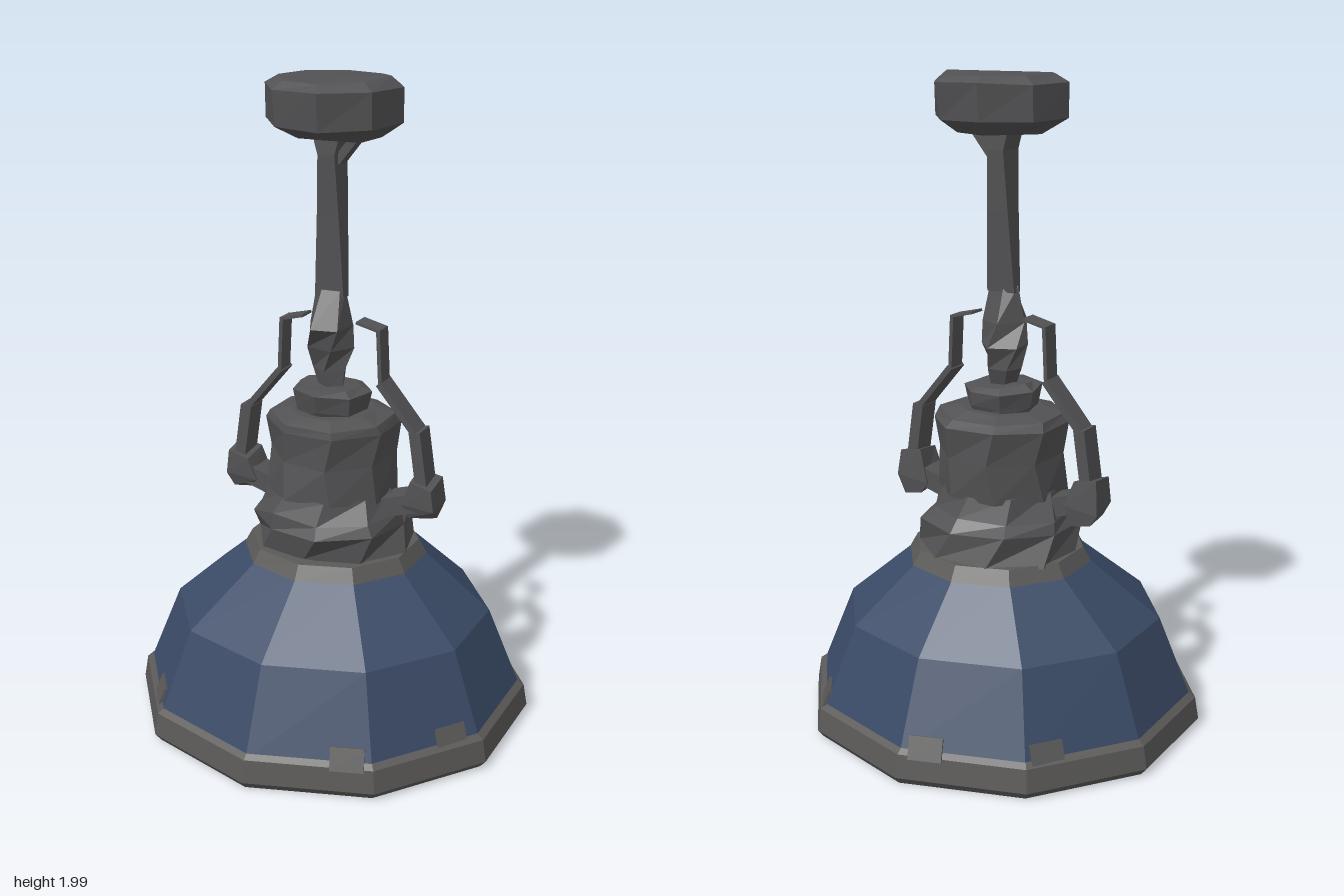
import * as THREE from 'three';

const steel = new THREE.MeshStandardMaterial({ color: 0x525254 });
steel.name = 'dark steel';
const trim = new THREE.MeshStandardMaterial({ color: 0x5a5958 });
trim.name = 'worn trim';
const blue = new THREE.MeshStandardMaterial({ color: 0x3a4a66 });
blue.name = 'blue enamel';
const cream = new THREE.MeshStandardMaterial({ color: 0xdcc59a });
cream.name = 'cream lining';

// Faceted mesh through rings [y, rx, rz, cx, cz, turn]; capStart faces down, capEnd faces up
function loft(name, material, n, rings, { capStart = true, capEnd = true, jitter = 0 } = {}) {
  let seed = 7;
  const rand = () => ((seed = (seed * 16807) % 2147483647) / 2147483647) * 2 - 1;
  const loops = rings.map(([y, rx, rz = rx, cx = 0, cz = 0, turn = 0]) =>
    Array.from({ length: n }, (_, i) => {
      const a = (i / n) * Math.PI * 2 + turn;
      const k = 1 + rand() * jitter;
      return [cx + Math.sin(a) * rx * k, y + rand() * jitter * 0.2, cz + Math.cos(a) * rz * k];
    }));
  const pos = [];
  const tri = (...pts) => pts.forEach((p) => pos.push(...p));
  const centre = (loop) => [0, 1, 2].map((c) => loop.reduce((s, p) => s + p[c], 0) / n);
  for (let i = 0; i < n; i++) {
    const j = (i + 1) % n;
    for (let r = 0; r + 1 < loops.length; r++) {
      const a = loops[r], b = loops[r + 1];
      tri(a[i], a[j], b[j]);
      tri(a[i], b[j], b[i]);
    }
    const last = loops[loops.length - 1];
    if (capStart) tri(centre(loops[0]), loops[0][j], loops[0][i]);
    if (capEnd) tri(centre(last), last[i], last[j]);
  }
  const geo = new THREE.BufferGeometry();
  geo.setAttribute('position', new THREE.Float32BufferAttribute(pos, 3));
  geo.computeVertexNormals();
  const mesh = new THREE.Mesh(geo, material);
  mesh.name = name;
  return mesh;
}

// Flat bar between two points in the xy plane
function bar(name, [x0, y0], [x1, y1], thick, width) {
  const len = Math.hypot(x1 - x0, y1 - y0);
  const mesh = new THREE.Mesh(new THREE.BoxGeometry(thick, len + thick * 0.5, width), steel);
  mesh.position.set((x0 + x1) / 2, (y0 + y1) / 2, -0.005);
  mesh.rotation.z = Math.atan2(y1 - y0, x1 - x0) - Math.PI / 2;
  mesh.name = name;
  return mesh;
}

export function createModel() {
  const lamp = new THREE.Group();
  lamp.name = 'pendantLamp';
  const open = { capStart: false, capEnd: false };

  // Shade: enamel outside, cream lining inside, rim around the mouth
  lamp.add(loft('shade', blue, 10, [
    [0.1, 0.605, 0.58], [0.36, 0.5, 0.475], [0.55, 0.272, 0.262, 0, -0.02],
  ], open));
  lamp.add(loft('shadeLining', cream, 10, [
    [0.47, 0.23], [0.34, 0.44], [0.05, 0.535, 0.515],
  ], { capEnd: false }));
  lamp.add(loft('rim', trim, 10, [
    [0.09, 0.52, 0.5], [0.025, 0.54, 0.52], [0.012, 0.61, 0.585],
    [0.035, 0.63, 0.602], [0.105, 0.618, 0.59], [0.12, 0.597, 0.57],
  ], open));

  // Chipped tabs rising from the rim
  [[0, 3, 0.12], [1, 0, 0.1], [3, 3, 0.12], [6, 2, -0.1], [8, 3, 0.08], [5, 0, -0.1], [2, 2, 0.05]]
    .forEach(([side, , shift]) => {
      const a = ((side + 0.5) / 10) * Math.PI * 2;
      const holder = new THREE.Group();
      holder.name = 'rimTab';
      holder.rotation.y = a;
      const plate = new THREE.Mesh(new THREE.BoxGeometry(0.1, 0.07, 0.009), trim);
      plate.name = 'rimTabPlate';
      plate.position.set(shift, 0.13, 0.557);
      plate.rotation.x = -0.38;
      holder.add(plate);
      lamp.add(holder);
    });

  // Collar where the shade meets the housing
  lamp.add(loft('collar', trim, 10, [
    [0.535, 0.29, 0.28, 0, -0.02], [0.58, 0.265, 0.255, 0, -0.02],
  ], { capStart: false }));
  lamp.add(loft('housingBase', steel, 9, [
    [0.575, 0.255, 0.235, 0, -0.025], [0.66, 0.245, 0.235, 0, -0.01, 0.2],
    [0.7, 0.225, 0.21, 0, 0, 0.2], [0.77, 0.19, 0.185, 0, 0, 0.3],
  ], { jitter: 0.05 }));
  lamp.add(loft('housing', steel, 8, [
    [0.75, 0.2, 0.195, 0, 0, 0.39], [0.87, 0.19, 0.19, 0, -0.01, 0.3],
    [0.97, 0.21, 0.195, 0, -0.01, 0.39], [0.995, 0.195, 0.18, 0, 0, 0.39], [1.01, 0.13, 0.13, 0, 0, 0.39],
  ], { jitter: 0.03 }));
  lamp.add(loft('housingCap', steel, 7, [
    [0.99, 0.1], [1.02, 0.11], [1.07, 0.12], [1.085, 0.09],
  ], { jitter: 0.04 }));

  // Knuckle and hanging stem
  lamp.add(loft('knuckle', steel, 5, [
    [1.07, 0.04, 0.035], [1.13, 0.055, 0.05, -0.01, -0.01], [1.2, 0.075, 0.07, -0.01, -0.01, 0.4],
    [1.27, 0.07, 0.075, 0, 0.02, 0.8], [1.38, 0.05, 0.02, 0, 0.01, 0.8],
  ]));
  lamp.add(loft('stem', steel, 4, [
    [1.36, 0.066, 0.025, 0, 0.005, Math.PI / 4], [1.6, 0.05, 0.045, 0, 0, Math.PI / 4],
    [1.78, 0.038, 0.062, 0, 0, Math.PI / 4], [1.85, 0.065, 0.062, 0, 0, Math.PI / 4],
  ]));
  lamp.add(bar('stemBrace', [0.025, 1.765], [0.085, 1.84], 0.025, 0.05));

  // Ceiling mount
  lamp.add(loft('ceilingMount', steel, 8, [
    [1.83, 0.13, 0.13, 0.01, -0.01, 0.2], [1.87, 0.2, 0.19, 0, -0.01, 0.2],
    [1.975, 0.205, 0.2, 0, -0.01, 0.2], [1.998, 0.165, 0.165, 0, -0.01, 0.2],
  ], { jitter: 0.03 }));

  // Side straps with clamps
  for (const s of [-1, 1]) {
    const arm = new THREE.Group();
    arm.name = s > 0 ? 'leftStrap' : 'rightStrap';
    const path = [[0.09, 1.29], [0.16, 1.273], [0.168, 1.11], [0.285, 0.97], [0.31, 0.8]];
    const thick = [0.008, 0.012, 0.018, 0.036];
    for (let i = 0; i + 1 < path.length; i++) {
      const [a, b] = [path[i], path[i + 1]];
      arm.add(bar('strapPiece', [a[0] * s, a[1]], [b[0] * s, b[1]], thick[i], i < 2 ? 0.06 : 0.075));
    }
    arm.add(loft('clamp', steel, 4, [
      [0.695, 0.045, 0.06, 0.3 * s, -0.01, Math.PI / 4], [0.74, 0.075, 0.07, 0.3 * s, -0.005, Math.PI / 4],
      [0.825, 0.05, 0.065, 0.31 * s, 0, Math.PI / 4],
    ], { jitter: 0.1 }));
    arm.add(bar('clampLink', [0.17 * s, 0.72], [0.3 * s, 0.76], 0.06, 0.09));
    lamp.add(arm);
  }
  return lamp;
}
